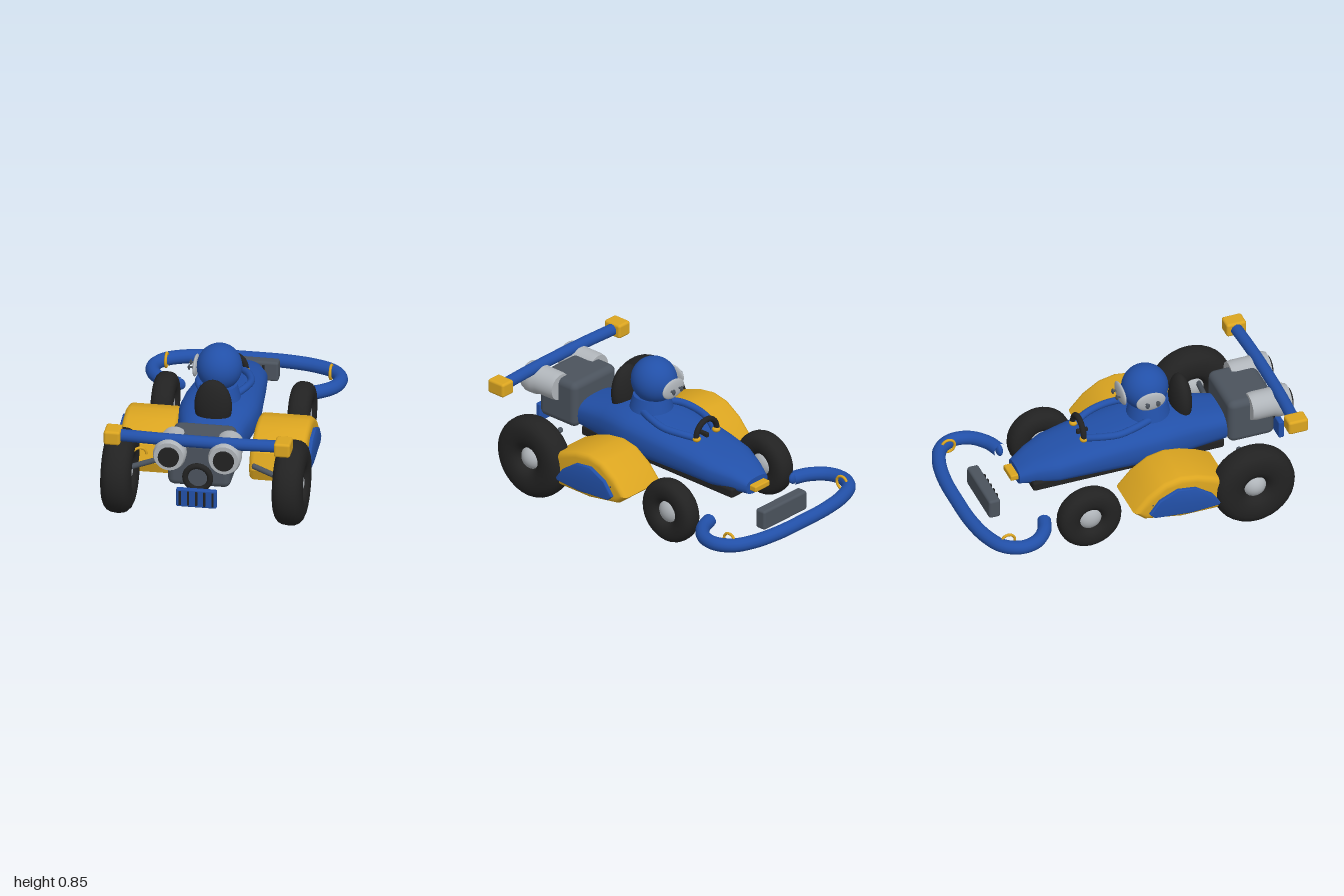
import * as THREE from 'three';
import { toCreasedNormals } from 'three/addons/utils/BufferGeometryUtils.js';
import { RoundedBoxGeometry } from 'three/addons/geometries/RoundedBoxGeometry.js';

const paint = (name, color, side = THREE.FrontSide) => {
  const m = new THREE.MeshStandardMaterial({ color, side });
  m.name = name;
  return m;
};

export function createModel() {
  const blue = paint('blue', 0x2250a8);
  const yellow = paint('yellow', 0xdba520);
  const black = paint('black', 0x222222);
  const steel = paint('steel', 0x4b535d);
  const silver = paint('silver', 0xb0b5ba);

  const kart = new THREE.Group();
  kart.name = 'kart';
  const add = (name, geo, mat, x = 0, y = 0, z = 0) => {
    const mesh = new THREE.Mesh(geo, mat);
    mesh.name = name;
    mesh.position.set(x, y, z);
    kart.add(mesh);
    return mesh;
  };
  const box = (w, h, d, r = 0.015) => new RoundedBoxGeometry(w, h, d, 3, r);
  const ball = (rx, ry, rz) => new THREE.SphereGeometry(1, 32, 20).scale(rx, ry, rz);
  const curve = (pts) => new THREE.CatmullRomCurve3(pts.map((p) => new THREE.Vector3(...p)));
  const tube = (pts, r, n = 40) => new THREE.TubeGeometry(curve(pts), n, r, 14);
  // extrude a (z, y) outline along x, centred on x = 0
  const sideExtrude = (pts, width, bevel) => {
    const shape = new THREE.Shape(pts.map(([z, y]) => new THREE.Vector2(-z, y)));
    const geo = new THREE.ExtrudeGeometry(shape, {
      depth: width - 2 * bevel, bevelThickness: bevel, bevelSize: bevel,
      bevelOffset: -bevel, bevelSegments: 4,
    });
    geo.translate(0, 0, bevel - width / 2).rotateY(Math.PI / 2);
    return toCreasedNormals(geo, 0.6);
  };

  // Body shell: rounded sections [z, half width, bottom, top]
  const sections = [
    [-0.61, 0.09, 0.275, 0.37], [-0.52, 0.13, 0.275, 0.42], [-0.4, 0.18, 0.278, 0.455],
    [-0.25, 0.197, 0.28, 0.487], [-0.1, 0.21, 0.28, 0.51], [0.05, 0.225, 0.28, 0.535],
    [0.2, 0.23, 0.28, 0.545], [0.32, 0.215, 0.28, 0.54], [0.42, 0.19, 0.28, 0.52],
    [0.62, 0.16, 0.29, 0.475],
  ];
  const N = 32;
  const pos = [];
  const index = [];
  const ring = ([z, w, lo, hi]) => {
    for (let i = 0; i < N; i++) {
      const a = (i / N) * Math.PI * 2;
      const c = Math.cos(a), s = Math.sin(a);
      pos.push(w * Math.sign(c) * Math.abs(c) ** 0.75,
        (lo + hi) / 2 + ((hi - lo) / 2) * Math.sign(s) * Math.abs(s) ** 0.75, z);
    }
  };
  sections.forEach(ring);
  for (let j = 0; j < sections.length - 1; j++) {
    for (let i = 0; i < N; i++) {
      const k = (i + 1) % N;
      const a = j * N + i, b = j * N + k, c = a + N, d = b + N;
      index.push(a, b, c, b, d, c);
    }
  }
  [sections[0], sections[sections.length - 1]].forEach((s, end) => {
    const base = pos.length / 3;
    ring(s);
    pos.push(0, (s[2] + s[3]) / 2, s[0]);
    for (let i = 0; i < N; i++) {
      const k = (i + 1) % N;
      index.push(base + N, base + (end ? i : k), base + (end ? k : i));
    }
  });
  const shell = new THREE.BufferGeometry();
  shell.setAttribute('position', new THREE.Float32BufferAttribute(pos, 3));
  shell.setIndex(index);
  shell.computeVertexNormals();
  add('bodyShell', shell, blue);
  add('floor', box(0.29, 0.06, 1.16), black, 0, 0.29, 0.03);
  add('noseTip', box(0.12, 0.036, 0.07, 0.008), yellow, 0, 0.322, -0.62);

  // Wheels: squarish rounded tyre with domed hub
  const wheel = (name, x, y, z, R, half) => {
    const inner = 0.06;
    const pts = [];
    for (let i = 0; i <= 20; i++) {
      const a = (i / 20) * Math.PI * 2 - Math.PI;
      const c = Math.cos(a), s = Math.sin(a);
      pts.push(new THREE.Vector2(
        (R + inner) / 2 + ((R - inner) / 2) * Math.sign(c) * Math.abs(c) ** 0.85,
        half * Math.sign(s) * Math.abs(s) ** 0.8));
    }
    add(name + 'Tyre', new THREE.LatheGeometry(pts, 32).rotateZ(Math.PI / 2), black, x, y, z);
    add(name + 'Hub', ball(half * 0.85, 0.076, 0.076), silver, x, y, z);
  };

  const podOutline = [
    [0.52, 0.24], [0.48, 0.335], [0.4, 0.375], [0.3, 0.41], [0.2, 0.425], [0.1, 0.405],
    [0.0, 0.34], [-0.085, 0.245], [-0.02, 0.19], [0.2, 0.152], [0.42, 0.152], [0.5, 0.175],
  ];
  const panelOutline = [
    [0.43, 0.21], [0.38, 0.28], [0.28, 0.35], [0.17, 0.365], [0.06, 0.315],
    [0.0, 0.235], [0.03, 0.205], [0.25, 0.185], [0.42, 0.195],
  ];

  for (const s of [1, -1]) {
    const side = s > 0 ? 'left' : 'right';
    wheel(side + 'LargeWheel', s * 0.492, 0.247, 0.647, 0.245, 0.087);
    wheel(side + 'SmallWheel', s * 0.393, 0.203, -0.31, 0.19, 0.065);

    // Side pod with inset panel
    add(side + 'Pod', sideExtrude(podOutline, 0.315, 0.032), yellow, s * 0.378, 0, 0);
    add(side + 'PodPanel', sideExtrude(panelOutline, 0.03, 0.008), blue, s * 0.541, 0, 0);
    add(side + 'PodBolt', ball(0.012, 0.012, 0.012), steel, s * 0.525, 0.285, 0.025);

    // Suspension rod
    add(side + 'Rod', new THREE.TubeGeometry(new THREE.LineCurve3(
      new THREE.Vector3(s * 0.275, 0.33, 0.645),
      new THREE.Vector3(s * 0.46, 0.275, 0.68)), 1, 0.016, 12), steel);
    add(side + 'RodEnd', ball(0.012, 0.016, 0.016), steel, s * 0.275, 0.33, 0.645);

    // Exhaust with rolled rim and dark mouth
    const pipe = [[0, 0.75], [0.078, 0.75], [0.083, 0.78], [0.083, 0.88], [0.093, 0.91],
      [0.094, 0.96], [0.085, 0.985], [0, 0.985]].map(([r, z]) => new THREE.Vector2(r, z));
    add(side + 'Exhaust', toCreasedNormals(
      new THREE.LatheGeometry(pipe, 32).rotateX(Math.PI / 2), 0.7), silver, s * 0.158, 0.52, 0);
    add(side + 'ExhaustMouth', new THREE.CylinderGeometry(0.06, 0.06, 0.03, 28)
      .rotateX(Math.PI / 2), black, s * 0.158, 0.52, 0.985);

    add(side + 'WingCap', box(0.094, 0.085, 0.12, 0.015), yellow, s * 0.488, 0.598, 0.91);
    add(side + 'BumperClip', new THREE.TorusGeometry(0.04, 0.008, 8, 20)
      .rotateY(Math.PI / 2), yellow, s * 0.472, 0.226, -0.83);
    add(side + 'BumperPlug', ball(0.036, 0.036, 0.02), blue, s * 0.355, 0.21, -0.567);

    // Arm, hand and wheel grip
    add(side + 'Arm', tube([[s * 0.1, 0.545, 0.17], [s * 0.135, 0.545, 0.08],
      [s * 0.147, 0.53, -0.03], [s * 0.12, 0.52, -0.13], [s * 0.075, 0.505, -0.215]],
    0.021), blue);
    add(side + 'Hand', ball(0.024, 0.018, 0.024), yellow, s * 0.082, 0.505, -0.222);
  }
  add('cableRing', new THREE.TorusGeometry(0.045, 0.008, 8, 20, Math.PI)
    .rotateY(0.5), yellow, -0.385, 0.345, 0.64);

  // Wrap-around bumper
  const half = [[0.35, 0.21, -0.565], [0.44, 0.21, -0.6], [0.52, 0.21, -0.68],
    [0.537, 0.21, -0.78], [0.485, 0.21, -0.87], [0.37, 0.21, -0.925], [0.2, 0.21, -0.955]];
  add('bumper', tube([...half, [0, 0.21, -0.96],
    ...half.slice().reverse().map(([x, y, z]) => [-x, y, z])], 0.04, 90), blue);

  // Slotted plates at both ends
  add('grille', box(0.36, 0.12, 0.07), steel, 0, 0.23, -0.797);
  add('tailPlate', box(0.232, 0.11, 0.034, 0.008), blue, 0, 0.265, 0.966);
  for (let i = -2; i <= 2; i++) {
    add('grilleSlot', box(0.013, 0.09, 0.016, 0.004), black, i * 0.047, 0.228, -0.757);
    add('tailSlot', box(0.013, 0.088, 0.008, 0.003), black, i * 0.047, 0.265, 0.983);
  }

  // Engine and intake ring
  add('engine', box(0.36, 0.28, 0.28, 0.04), steel, 0, 0.44, 0.765);
  add('intakeRing', new THREE.TorusGeometry(0.072, 0.017, 12, 32), black, 0, 0.375, 0.93);
  add('intakeCore', new THREE.CylinderGeometry(0.06, 0.06, 0.04, 28)
    .rotateX(Math.PI / 2), steel, 0, 0.375, 0.905);

  // Wing bar
  add('wingBar', tube([[-0.47, 0.598, 0.908], [-0.22, 0.598, 0.92], [0, 0.598, 0.923],
    [0.22, 0.598, 0.92], [0.47, 0.598, 0.908]], 0.035), blue);

  // Seat, driver and helmet discs
  add('seat', ball(0.108, 0.16, 0.06), black, 0, 0.57, 0.395);
  add('torso', new THREE.CylinderGeometry(0.105, 0.135, 0.12, 32), blue, 0, 0.555, 0.2);
  add('helmet', ball(0.13, 0.135, 0.135), blue, 0, 0.713, 0.18);
  const disc = (name, x, z, turn) => {
    const g = new THREE.Group();
    g.name = name;
    const put = (part, geo, mat, px, py, pz) => {
      const m = new THREE.Mesh(geo, mat);
      m.name = part;
      m.position.set(px, py, pz);
      g.add(m);
    };
    put('plate', ball(0.088, 0.058, 0.016), silver, 0, 0, 0);
    for (const s of [1, -1]) {
      put('stud', new THREE.CylinderGeometry(0.006, 0.006, 0.035, 10)
        .rotateX(Math.PI / 2), steel, s * 0.032, 0, 0.026);
      put('studHead', ball(0.013, 0.018, 0.006), steel, s * 0.032, 0, 0.034);
    }
    g.position.set(x, 0.703, z);
    g.rotation.y = turn;
    kart.add(g);
  };
  disc('visorDisc', 0, 0.033, Math.PI);
  disc('sideDisc', -0.137, 0.165, -Math.PI / 2);

  // Steering wheel and column
  add('steeringWheel', new THREE.TorusGeometry(0.085, 0.017, 12, 32, Math.PI),
    black, 0, 0.512, -0.222);
  add('steeringColumn', box(0.025, 0.03, 0.07, 0.008), black, 0, 0.5, -0.2);
  return kart;
}
